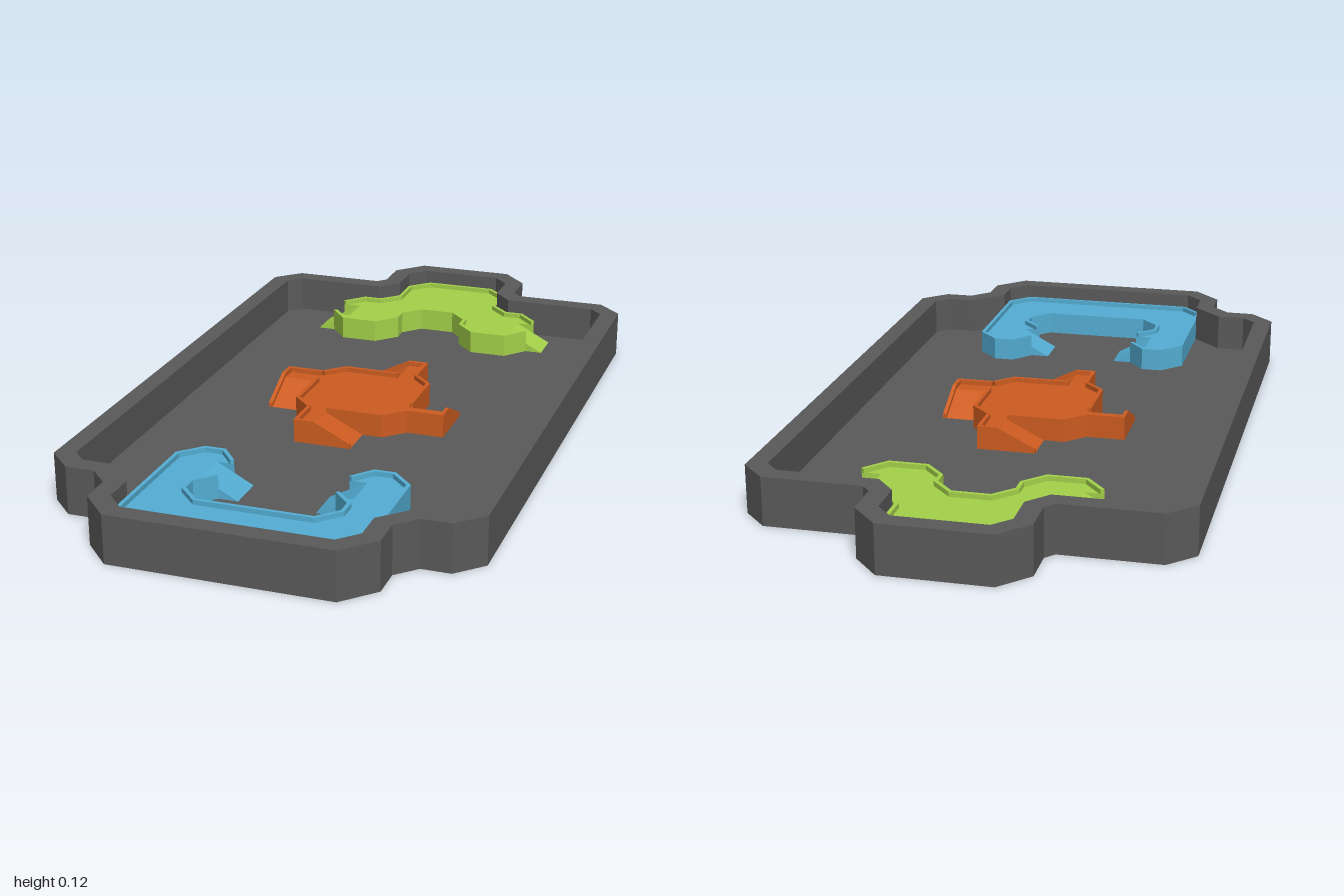
import * as THREE from 'three';

const FLOOR = 0.025, DECK = 0.075, LIP = 0.0875, RIM = 0.125, THIN = 0.01;

const mat = (color) => new THREE.MeshStandardMaterial({ color, flatShading: true });
const TRAY = mat(0x5a5a5a), GREEN = mat(0xa4d24a), ORANGE = mat(0xce5c20), BLUE = mat(0x54aed4);

function add(parent, geometry, material, name) {
  const mesh = new THREE.Mesh(geometry, material);
  mesh.name = name;
  parent.add(mesh);
  return mesh;
}

const toShape = (pts) => new THREE.Shape(pts.map(([x, y]) => new THREE.Vector2(x, y)));
const flip = (pts) => pts.map(([x, z]) => [x, -z]);

// Upright slab from a plan outline in (x, z), with an optional hole wound the other way
function slab(plan, y0, y1, hole) {
  const shape = toShape(flip(plan));
  if (hole) shape.holes.push(toShape(flip(hole).reverse()));
  const g = new THREE.ExtrudeGeometry(shape, { depth: y1 - y0, bevelEnabled: false });
  return g.rotateX(-Math.PI / 2).translate(0, y0, 0);
}

// Prism from a side profile in (x, y), running from z0 to z1
function prism(profile, z0, z1) {
  const g = new THREE.ExtrudeGeometry(toShape(profile), { depth: z1 - z0, bevelEnabled: false });
  return g.translate(0, 0, z0);
}

// Mitred inward offset of a path that runs clockwise in plan
function inset(path, d, closed) {
  const n = path.length;
  const normal = (i) => {
    const a = path[(i + n) % n], b = path[(i + 1) % n];
    const l = Math.hypot(b[0] - a[0], b[1] - a[1]);
    return [-(b[1] - a[1]) / l, (b[0] - a[0]) / l];
  };
  return path.map(([x, z], i) => {
    const p = normal(!closed && i === 0 ? 0 : i - 1);
    const q = normal(!closed && i === n - 1 ? i - 1 : i);
    const k = d / (1 + p[0] * q[0] + p[1] * q[1]);
    return [x + (p[0] + q[0]) * k, z + (p[1] + q[1]) * k];
  });
}

const mirror = (pts) => pts.map(([x, z]) => [-x, z]).reverse();
const lip = (path) => slab([...path, ...inset(path, THIN, false).reverse()], DECK, LIP);

// Deck with two lipped edges and a pair of ramps set into its notches
function platform(name, material, pathA, notch, pathB, rampTop, rampEnd, z0, z1) {
  const group = new THREE.Group();
  group.name = name;
  add(group, slab([...pathA, ...notch, ...pathB, ...mirror(notch)], FLOOR, DECK), material, 'deck');
  for (const path of [pathA, pathB]) add(group, lip(path), material, 'deckLip');
  for (const s of [1, -1]) {
    const profile = [[s * rampTop, FLOOR], [s * rampEnd, FLOOR], [s * rampTop, DECK]];
    add(group, prism(profile, z0, z1), material, s > 0 ? 'leftRamp' : 'rightRamp');
  }
  return group;
}

export function createModel() {
  const model = new THREE.Group();
  model.name = 'arenaTray';

  // Tray: floor plate and surrounding wall
  const half = [[0.137, -1], [0.206, -0.925], [0.206, -0.825], [0.228, -0.8], [0.48, -0.8],
    [0.545, -0.735], [0.545, 0.725], [0.48, 0.79], [0.405, 0.79], [0.355, 0.84],
    [0.355, 0.922], [0.28, 1]];
  const outer = [...half, ...mirror(half)];
  add(model, slab(outer, 0, FLOOR), TRAY, 'trayFloor');
  add(model, slab(outer, FLOOR, RIM, inset(outer, 0.05, true)), TRAY, 'trayWall');

  // Back platform in the narrow tab
  const backEdge = [[0.1, -0.95], [0.155, -0.895], [0.155, -0.795], [0.2, -0.75], [0.25, -0.75], [0.3, -0.695]];
  const frontEdge = [[0.3, -0.6], [0.25, -0.54], [0.148, -0.54], [0.095, -0.597], [0.095, -0.64], [0.048, -0.69]];
  model.add(platform('backPlatform', GREEN,
    [...mirror(backEdge), ...backEdge], [[0.25, -0.695], [0.25, -0.6]],
    [...frontEdge, ...mirror(frontEdge)], 0.25, 0.347, -0.695, -0.6));

  // Front U-shaped platform
  const outside = [[0.15, 0.543], [0.195, 0.488], [0.25, 0.488], [0.305, 0.545], [0.305, 0.89], [0.25, 0.947]];
  const inside = [[0.147, 0.78], [0.195, 0.73], [0.195, 0.69], [0.15, 0.642]];
  model.add(platform('frontPlatform', BLUE,
    [...outside, ...mirror(outside)], [[-0.195, 0.543], [-0.195, 0.642]],
    [...mirror(inside), ...inside], 0.195, 0.1, 0.543, 0.642));

  // Centre octagon with four pinwheel ramps
  const centre = new THREE.Group();
  centre.name = 'centrePlatform';
  const r = 0.155, c = 0.104;
  const octagon = [[-c, -r], [c, -r], [r, -c], [r, c], [c, r], [-c, r], [-r, c], [-r, -c]];
  add(centre, slab(octagon, FLOOR, DECK), ORANGE, 'deck');
  for (let k = 0; k < 4; k++) {
    const arm = new THREE.Group();
    arm.name = 'rampArm';
    arm.rotation.y = k * Math.PI / 2;
    const out = 0.255, low = 0.05, top = -0.05;
    const rise = LIP - DECK;
    add(arm, prism([[low, FLOOR], [top, DECK], [-c, DECK], [-c, FLOOR]], r, out), ORANGE, 'ramp');
    add(arm, prism([[low, FLOOR], [low, FLOOR + rise], [top, LIP], [-c, LIP], [-c, DECK], [top, DECK]],
      out - THIN, out), ORANGE, 'rampLip');
    add(arm, prism([[-c, DECK], [-c + THIN, DECK], [-c + THIN, LIP], [-c, LIP]], r, out - THIN),
      ORANGE, 'landingLip');
    add(arm, lip([[r, c], [c, r], [top, r]]), ORANGE, 'deckLip');
    centre.add(arm);
  }
  model.add(centre);
  return model;
}
